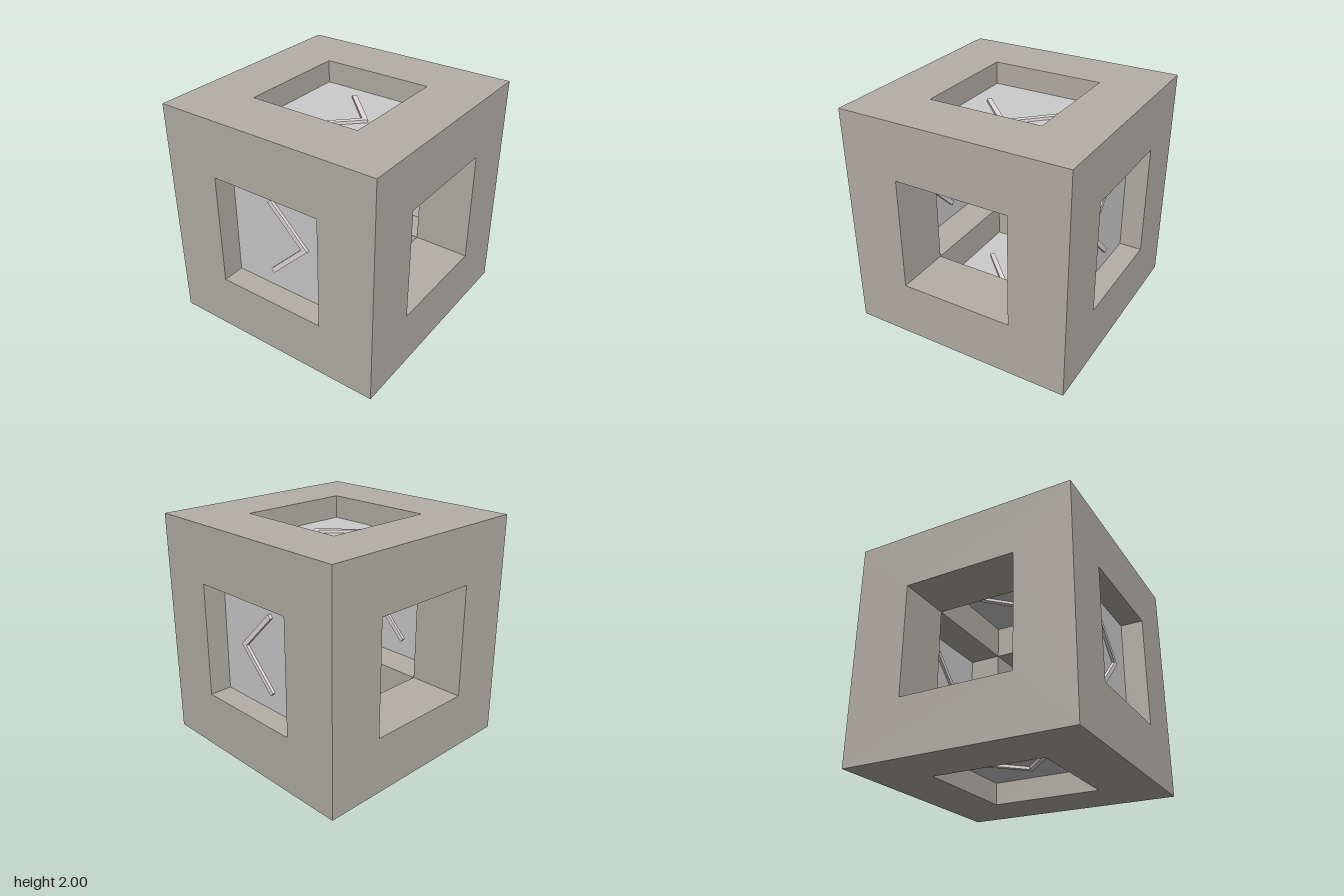
import * as THREE from 'three';
import { mergeGeometries } from 'three/addons/utils/BufferGeometryUtils.js';

const HALF = 1;        // half the cube's edge
const HOLE = 0.5;      // half the opening's edge
const PANEL_AT = 0.8;  // panel distance from the centre
const RELIEF = 0.025;  // arrow height on each face of a panel

function squarePath(PathType, r) {
  return new PathType([[-r, -r], [r, -r], [r, r], [-r, r]].map(([x, y]) => new THREE.Vector2(x, y)));
}

// One side of the cube facing +z: a square face with an opening and its four tunnel walls
function sideGeometry() {
  const face = squarePath(THREE.Shape, HALF);
  face.holes.push(squarePath(THREE.Path, HOLE));
  const parts = [new THREE.ShapeGeometry(face).translate(0, 0, HALF)];
  for (let i = 0; i < 4; i++) {
    parts.push(new THREE.PlaneGeometry(2 * HOLE, HALF - HOLE)
      .rotateX(-Math.PI / 2)
      .translate(0, -HOLE, (HALF + HOLE) / 2)
      .rotateZ(i * Math.PI / 2));
  }
  return mergeGeometries(parts);
}

// Chevron pointing to +x, standing out from both faces of its panel
function arrowGeometry() {
  const outline = [[0.26, 0], [-0.095, 0.355], [-0.125, 0.325], [0.2, 0], [-0.125, -0.325], [-0.095, -0.355]];
  const shape = new THREE.Shape(outline.map(([x, y]) => new THREE.Vector2(x, y)));
  return new THREE.ExtrudeGeometry(shape, { depth: 2 * RELIEF, bevelEnabled: false }).translate(0, 0, -RELIEF);
}

export function createModel() {
  const group = new THREE.Group();
  group.name = 'directionalCube';
  const frameMaterial = new THREE.MeshStandardMaterial({ color: 0xb4b0a6 });
  const panelMaterial = new THREE.MeshStandardMaterial({ color: 0xcccccc, side: THREE.DoubleSide });
  const arrowMaterial = new THREE.MeshStandardMaterial({ color: 0xe2dada });

  // Hollow frame: the same side turned to all six directions
  const sides = [];
  for (let i = 0; i < 4; i++) sides.push(sideGeometry().rotateX(i * Math.PI / 2));
  for (const s of [-1, 1]) sides.push(sideGeometry().rotateY(s * Math.PI / 2));
  const frame = new THREE.Mesh(mergeGeometries(sides), frameMaterial);
  frame.name = 'frame';
  frame.position.y = HALF;
  group.add(frame);

  // Recessed panels with arrows around the x axis; the x tunnel stays open
  const panelShape = new THREE.PlaneGeometry(2 * HOLE, 2 * HOLE);
  const arrowShape = arrowGeometry();
  ['front', 'bottom', 'back', 'top'].forEach((name, i) => {
    const holder = new THREE.Group();
    holder.name = name + 'Sign';
    const panel = new THREE.Mesh(panelShape, panelMaterial);
    panel.name = name + 'Panel';
    const arrow = new THREE.Mesh(arrowShape, arrowMaterial);
    arrow.name = name + 'Arrow';
    panel.position.z = arrow.position.z = PANEL_AT;
    holder.add(panel, arrow);
    holder.rotation.x = i * Math.PI / 2;
    holder.position.y = HALF;
    group.add(holder);
  });
  return group;
}
